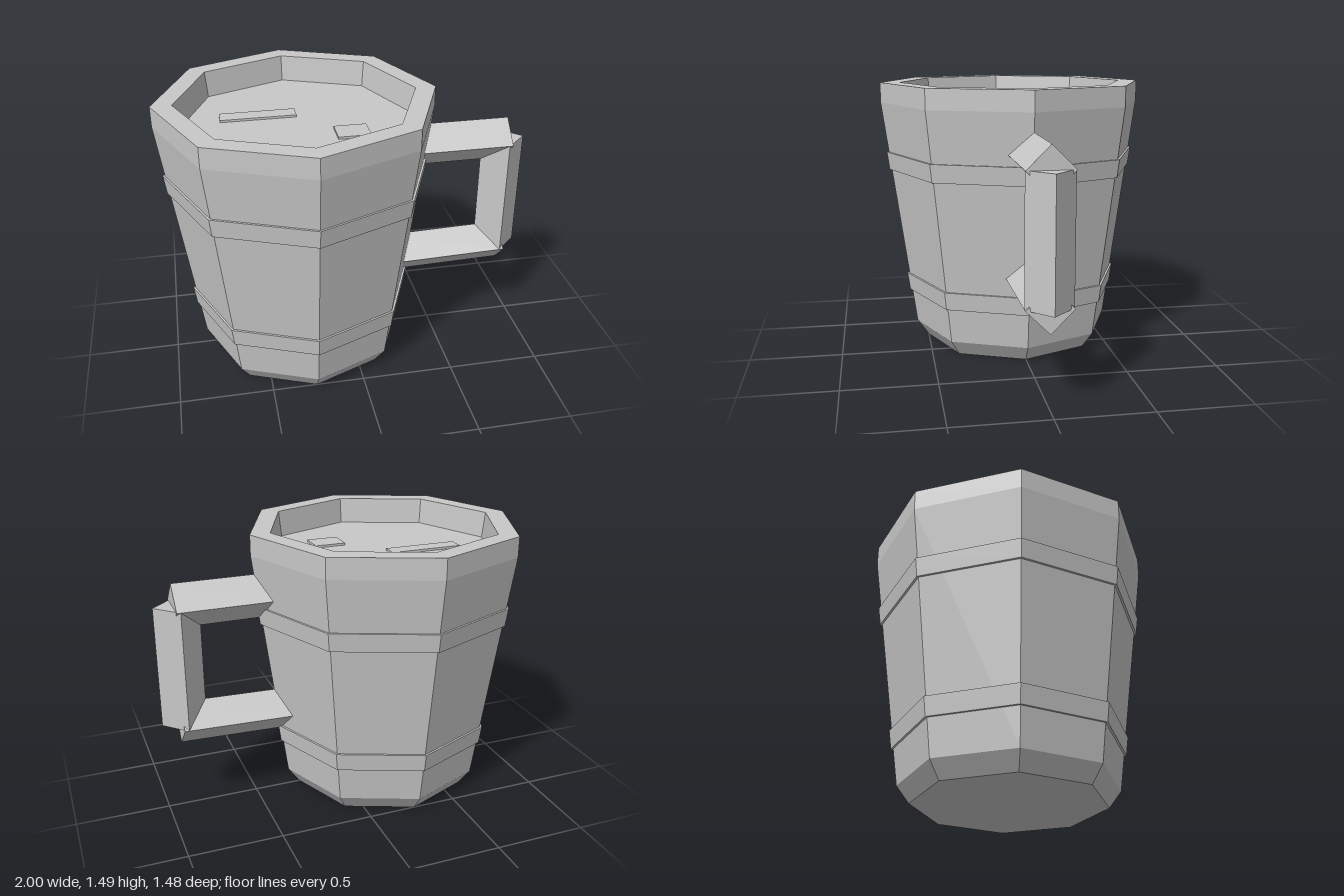
import * as THREE from 'three';

const CX = -0.26; // axis of the vessel
const SIDES = 8;

export function createModel() {
  const model = new THREE.Group();
  model.name = 'mug';
  const grey = new THREE.MeshStandardMaterial({ color: 0xc8c8c8 });
  grey.name = 'grey';

  // Faceted mesh: every face gets its own normal
  const add = (name, geometry, x = 0, y = 0, z = 0) => {
    const flat = geometry.toNonIndexed();
    flat.computeVertexNormals();
    const mesh = new THREE.Mesh(flat, grey);
    mesh.name = name;
    mesh.position.set(x, y, z);
    model.add(mesh);
    return mesh;
  };
  const lathe = (points) =>
    new THREE.LatheGeometry(points.map(([r, y]) => new THREE.Vector2(r, y)), SIDES);

  // Octagonal body with chamfered foot, rim and recessed top
  add('body', lathe([
    [0, 0], [0.5, 0], [0.565, 0.09], [0.74, 1.38], [0.74, 1.49],
    [0.63, 1.49], [0.614, 1.35], [0, 1.35],
  ]), CX);

  // Raised hoops following the taper of the wall
  const wall = (y) => 0.565 + ((y - 0.09) / 1.29) * 0.175;
  for (const [name, low, high] of [['lowerHoop', 0.285, 0.385], ['upperHoop', 1.0, 1.1]]) {
    add(name, lathe([
      [wall(low) - 0.02, low], [wall(low) + 0.012, low],
      [wall(high) + 0.012, high], [wall(high) - 0.02, high],
    ]), CX);
  }

  // Handle made of diamond-section bars
  const bar = (name, x0, y0, x1, y1) => {
    const a = new THREE.Vector3(x0, y0, 0);
    const b = new THREE.Vector3(x1, y1, 0);
    const mesh = add(name, new THREE.CylinderGeometry(0.12, 0.12, a.distanceTo(b), 4));
    mesh.position.copy(a).add(b).multiplyScalar(0.5);
    mesh.rotation.z = Math.atan2(y1 - y0, x1 - x0) - Math.PI / 2;
  };
  bar('handleTop', 0.34, 1.16, 0.9, 1.16);
  bar('handleGrip', 0.88, 0.5, 0.88, 1.16);
  bar('handleBottom', 0.24, 0.486, 0.903, 0.503);

  // Small flat pieces resting in the recess
  add('longPlate', new THREE.BoxGeometry(0.4, 0.016, 0.09), CX - 0.195, 1.354, -0.105);
  add('shortPlate', new THREE.BoxGeometry(0.17, 0.016, 0.14), CX + 0.255, 1.354, 0.19);

  return model;
}
